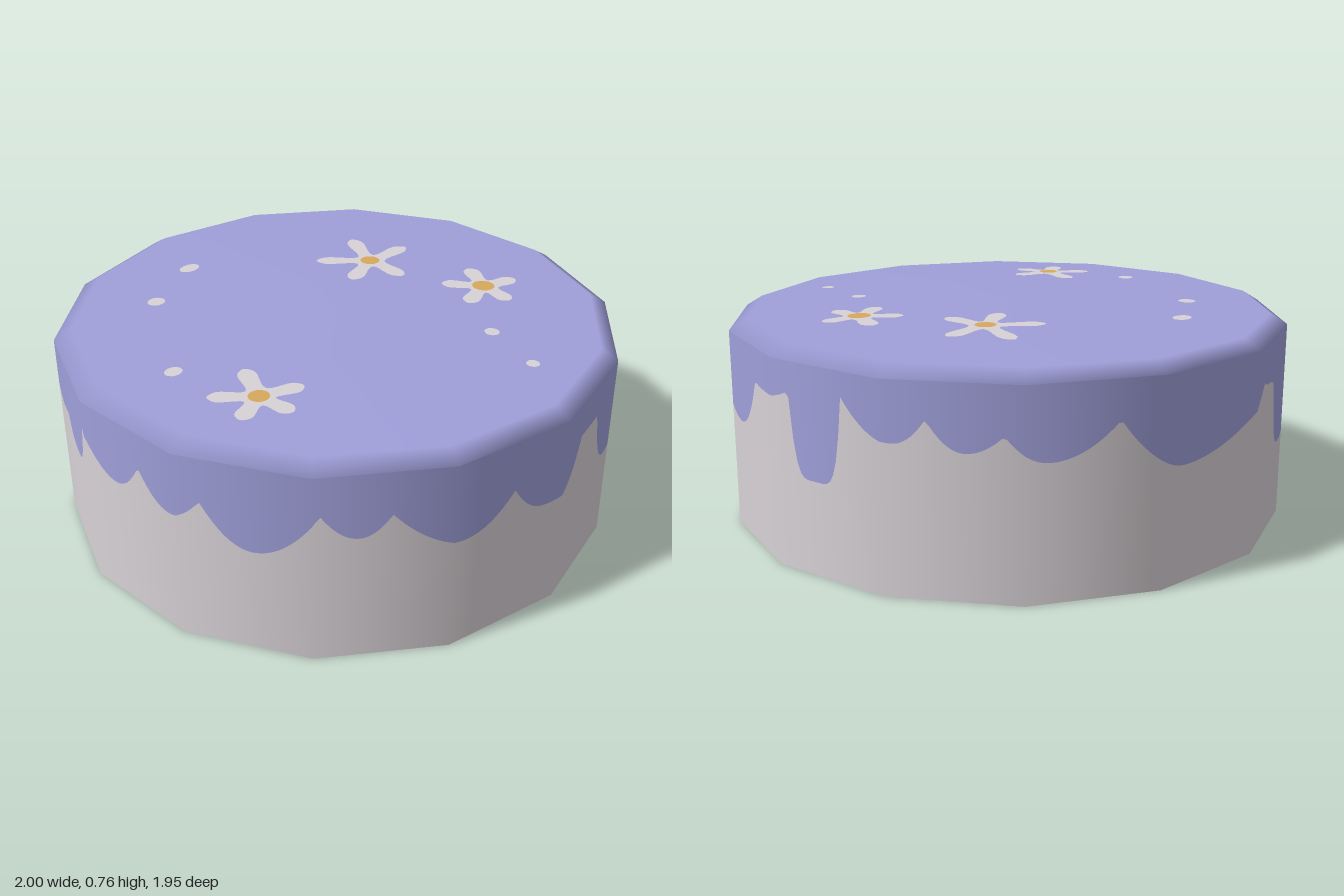
import * as THREE from 'three';

const SIDES = 14, STEPS = 32, RIM_Y = 0.70, TOP_Y = 0.737, PEAK_Y = 0.756, TOP_R = 0.94;

const mat = (name, color) => Object.assign(new THREE.MeshStandardMaterial({ color }), { name });

// Icing edge, one row per scallop: peak angle, peak height, low angle, low height, roundness.
// Angles run in degrees from the front (+z) towards +x.
const SCALLOPS = [
  [3, 0.57, 11, 0.465, 2], [17.5, 0.54, 27.5, 0.385, 2], [40, 0.56, 47, 0.465, 2],
  [53, 0.545, 67, 0.41, 2], [78, 0.52, 87, 0.41, 2.5], [98, 0.57, 102, 0.568, 2],
  [106.5, 0.57, 113, 0.355, 2.5], [119, 0.455, 120, 0.455, 2], [135.5, 0.56, 147, 0.4, 2],
  [157, 0.58, 164, 0.57, 2], [171, 0.6, 177, 0.32, 5], [184, 0.62, 195, 0.5, 2],
  [201, 0.58, 208, 0.48, 2], [215, 0.54, 223, 0.455, 2], [236, 0.57, 250, 0.395, 2],
  [276, 0.57, 280, 0.55, 2], [285, 0.53, 292, 0.29, 3], [300, 0.47, 305, 0.455, 2],
  [319.5, 0.58, 326, 0.48, 2], [330, 0.487, 338, 0.41, 3], [346, 0.6, 356, 0.46, 2],
];

function icingEdge(angle) {
  const a = (((angle - 3) % 360) + 360) % 360 + 3;
  let i = SCALLOPS.length - 1;
  while (i > 0 && SCALLOPS[i][0] > a) i--;
  const [p0, h0, low, hLow, round] = SCALLOPS[i];
  const next = SCALLOPS[(i + 1) % SCALLOPS.length];
  const p1 = i + 1 < SCALLOPS.length ? next[0] : next[0] + 360;
  const t = a < low ? (low - a) / (low - p0) : (a - low) / (p1 - low);
  return hLow + ((a < low ? h0 : next[1]) - hLow) * Math.pow(t, round);
}

// Columns around the fourteen-sided outline
const columns = [];
for (let i = 0; i <= SIDES * STEPS; i++) {
  const corner = (k) => Math.PI / 2 + (k * 2 * Math.PI) / SIDES;
  const k = Math.floor(i / STEPS), s = (i % STEPS) / STEPS;
  const a = corner(k), b = corner(k + 1);
  const x = THREE.MathUtils.lerp(Math.sin(a), Math.sin(b), s);
  const z = THREE.MathUtils.lerp(Math.cos(a), Math.cos(b), s);
  const angle = Math.atan2(x, z);
  columns.push({ x, z, nx: Math.sin(angle), nz: Math.cos(angle), edge: icingEdge(THREE.MathUtils.radToDeg(angle)) });
}

// Band between a lower and an upper ring; each ring gives radius, height and upward tilt
function band(lower, upper) {
  const pos = [], nor = [], idx = [];
  columns.forEach((c, i) => {
    for (const ring of [lower(c), upper(c)]) {
      const [r, y, up] = ring;
      pos.push(c.x * r, y, c.z * r);
      nor.push(c.nx * (1 - up), up, c.nz * (1 - up));
    }
    if (i < columns.length - 1) {
      const n = i * 2;
      idx.push(n, n + 2, n + 3, n, n + 3, n + 1);
    }
  });
  const g = new THREE.BufferGeometry();
  g.setAttribute('position', new THREE.Float32BufferAttribute(pos, 3));
  g.setAttribute('normal', new THREE.Float32BufferAttribute(nor, 3));
  g.setIndex(idx);
  return g;
}

// Lay a flat geometry on the shallow dome of the top
function onTop(geometry, x, z, lift) {
  geometry.rotateX(-Math.PI / 2).translate(x, 0, z);
  const p = geometry.attributes.position;
  for (let i = 0; i < p.count; i++) {
    const r = Math.hypot(p.getX(i), p.getZ(i));
    p.setY(i, PEAK_Y - (PEAK_Y - TOP_Y) * (r / TOP_R) + lift);
  }
  return geometry;
}

// Five-petal outline through the petal tips [dx, dz], listed counterclockwise from above
function petals(tips) {
  const pts = [];
  tips.forEach(([dx, dz], i) => {
    const tip = new THREE.Vector2(dx, -dz);
    const next = new THREE.Vector2(tips[(i + 1) % tips.length][0], -tips[(i + 1) % tips.length][1]);
    const dir = tip.clone().normalize();
    const side = new THREE.Vector2(-dir.y, dir.x).multiplyScalar(0.03);
    const shoulder = tip.clone().multiplyScalar(0.84);
    pts.push(shoulder.clone().sub(side), tip, shoulder.clone().add(side));
    pts.push(dir.add(next.normalize()).setLength(0.055));
  });
  const curve = new THREE.CatmullRomCurve3(pts.map((p) => new THREE.Vector3(p.x, p.y, 0)), true);
  return new THREE.ShapeGeometry(new THREE.Shape(curve.getPoints(100).slice(0, -1).map((p) => new THREE.Vector2(p.x, p.y))));
}

export function createModel() {
  const group = new THREE.Group();
  group.name = 'cake';
  const cream = mat('cream', 0xd8d2d6);
  const icing = mat('lavender icing', 0x9f9fda);
  const gold = mat('gold', 0xd6a85c);
  const add = (name, geometry, material) => {
    const m = new THREE.Mesh(geometry, material);
    m.name = name;
    group.add(m);
    return m;
  };

  // Body and icing
  add('cakeSide', band(() => [1, 0, 0], (c) => [1, c.edge, 0]), cream);
  add('cakeBase', new THREE.CircleGeometry(1, SIDES).rotateX(Math.PI / 2), cream);
  add('icingDrips', band((c) => [1, c.edge, 0], () => [1, RIM_Y, 0]), icing);
  add('icingRim', band(() => [1, RIM_Y, 0.12], () => [TOP_R, TOP_Y, 1]), icing);
  add('icingTop', new THREE.ConeGeometry(TOP_R, PEAK_Y - TOP_Y, SIDES, 1, true, Math.PI / 2)
    .translate(0, (PEAK_Y + TOP_Y) / 2, 0), icing);

  // Flowers
  const flowers = [
    { x: -0.18, z: -0.38, r: 0.037, tips: [[0.18, 0.015], [0.01, -0.195], [-0.19, -0.105], [-0.15, 0.14], [0.065, 0.175]] },
    { x: 0.27, z: -0.505, r: 0.041, tips: [[0.14, 0.025], [0.045, -0.135], [-0.135, -0.085], [-0.125, 0.09], [0.045, 0.15]] },
    { x: 0.23, z: 0.61, r: 0.036, tips: [[0.145, -0.01], [0.06, -0.145], [-0.16, -0.085], [-0.12, 0.115], [0.055, 0.135]] },
  ];
  for (const f of flowers) {
    add('flowerPetals', onTop(petals(f.tips), f.x, f.z, 0.002), cream);
    add('flowerCenter', onTop(new THREE.CircleGeometry(f.r, 20), f.x, f.z, 0.004), gold);
  }

  // Scattered dots: x, z, half width, half depth
  const dots = [[-0.645, 0.13, 0.03, 0.042], [-0.52, 0.4, 0.031, 0.033], [-0.09, 0.69, 0.028, 0.032],
    [0.51, -0.24, 0.027, 0.026], [0.74, -0.16, 0.023, 0.023]];
  for (const [x, z, w, d] of dots) {
    add('dot', onTop(new THREE.CircleGeometry(1, 16).scale(w, d, 1), x, z, 0.002), cream);
  }
  return group;
}
